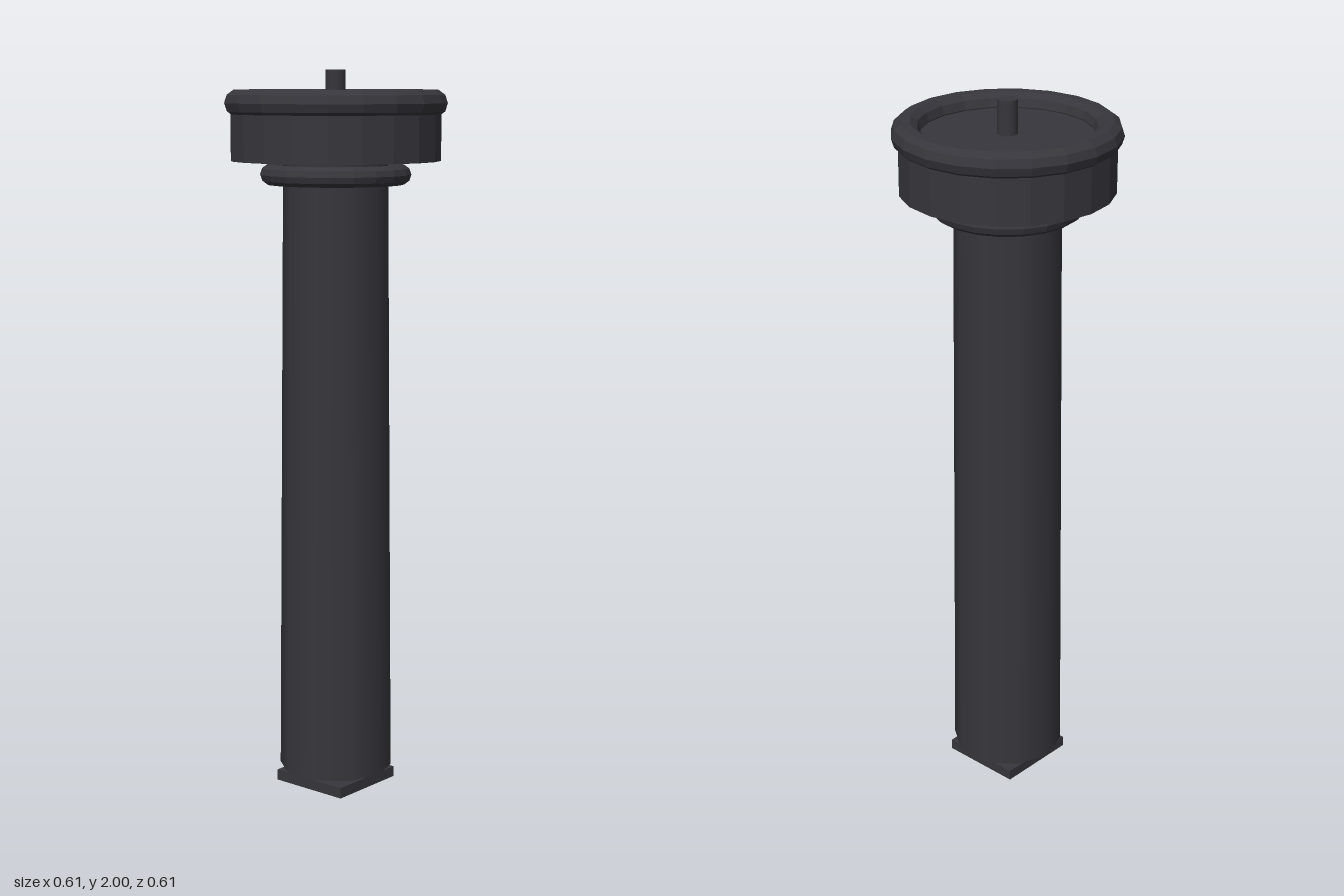
import * as THREE from 'three';

export function createModel() {
  const group = new THREE.Group();
  const iron = new THREE.MeshStandardMaterial({ color: 0x37363c });
  iron.name = 'dark iron';

  const add = (name, geometry, y, flat = false) => {
    // split the corners so each facet keeps its own normal
    if (flat) {
      geometry = geometry.toNonIndexed();
      geometry.computeVertexNormals();
    }
    const mesh = new THREE.Mesh(geometry, iron);
    mesh.name = name;
    mesh.position.y = y;
    group.add(mesh);
    return mesh;
  };
  const cylinder = (name, top, bottom, y0, y1, sides, flat) =>
    add(name, new THREE.CylinderGeometry(top, bottom, y1 - y0, sides), (y0 + y1) / 2, flat);
  const ring = (name, radius, tube, y) =>
    add(name, new THREE.TorusGeometry(radius, tube, 10, 20).rotateX(Math.PI / 2), y, true);

  // Square foot plate, set just below the shaft
  add('footPlate', new THREE.BoxGeometry(0.236, 0.03, 0.236), 0.015);

  // Ten-sided, smooth tapered shaft with corners on the x axis
  cylinder('shaft', 0.143, 0.158, 0.046, 1.76, 10).rotation.y = Math.PI / 2;

  // Collar and dish with a rounded rim
  ring('collar', 0.178, 0.028, 1.72);
  cylinder('dish', 0.286, 0.286, 1.757, 1.908, 20, true);
  ring('dishRim', 0.265, 0.038, 1.911);

  // Upright pin in the middle of the dish
  cylinder('pin', 0.027, 0.027, 1.9, 2, 16);

  return group;
}
